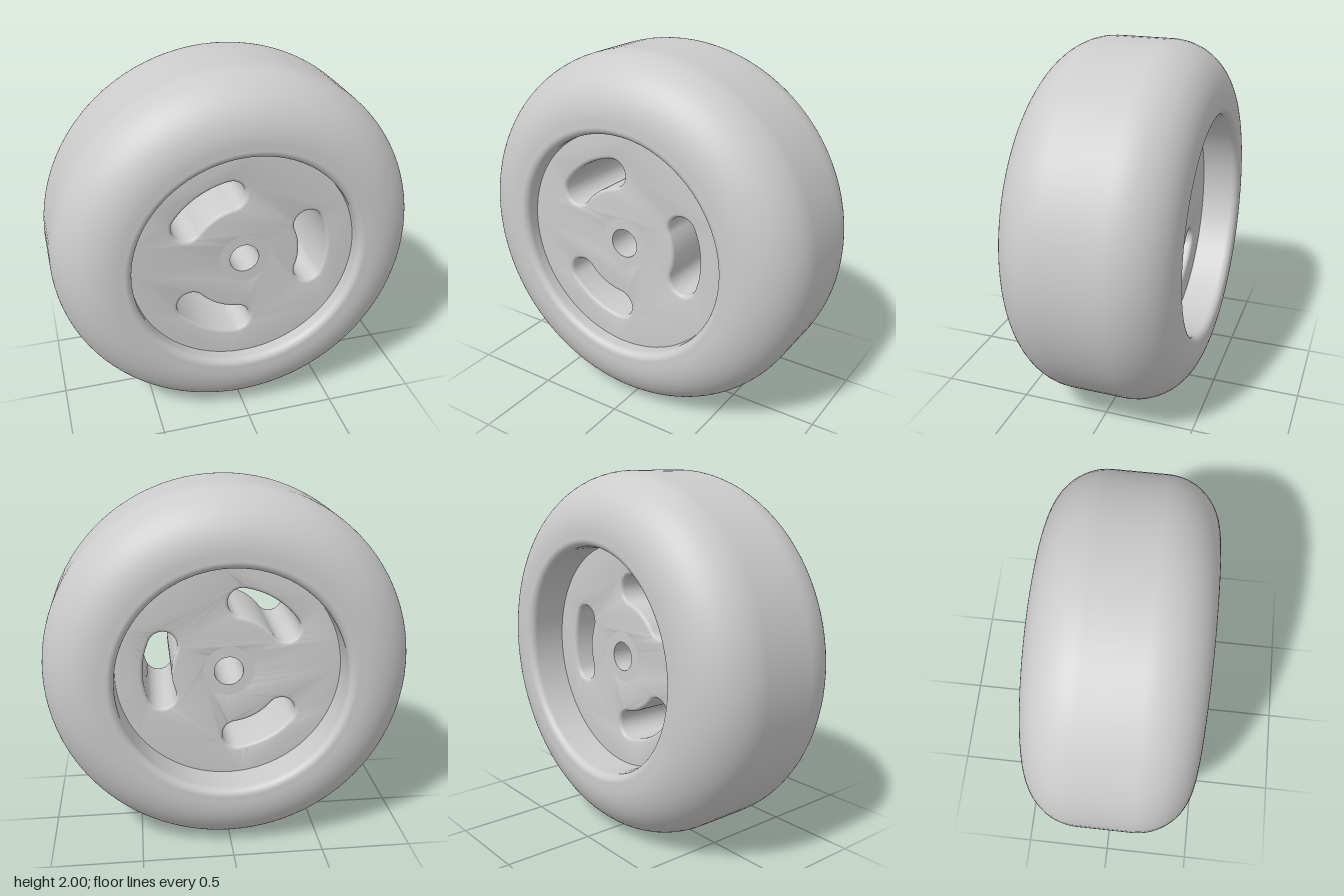
import * as THREE from 'three';
import { toCreasedNormals } from 'three/addons/utils/BufferGeometryUtils.js';

const SEG = 96;
const HALF_WIDTH = 0.46, RIM = 0.615;
const DISC_FRONT = 0.37, DISC_BACK = -0.245;
const HUB = 0.08, PLUG = 0.14, BEVEL = 0.02;

const material = new THREE.MeshStandardMaterial({ color: 0xcccccc });

// Revolve a profile of (radius, z) points about the z axis
function revolve(points, name) {
  const geometry = new THREE.LatheGeometry(points, SEG).rotateX(Math.PI / 2);
  const mesh = new THREE.Mesh(geometry, material);
  mesh.name = name;
  return mesh;
}

// Rounded-rectangle cross-section: large outer shoulders, small inner lips
function tyreProfile() {
  const shoulder = 0.31, lip = 0.04, w = HALF_WIDTH, q = Math.PI / 2;
  const p = new THREE.Path();
  p.moveTo(RIM, 0);
  p.lineTo(RIM, -w + lip);
  p.absarc(RIM + lip, -w + lip, lip, 2 * q, 3 * q);
  p.absarc(1 - shoulder, -w + shoulder, shoulder, -q, 0);
  p.absarc(1 - shoulder, w - shoulder, shoulder, 0, q);
  p.absarc(RIM + lip, w - lip, lip, q, 2 * q);
  p.lineTo(RIM, 0);
  return p.getPoints(14);
}

// Curved slot with round ends, following a circle about the hub
function slotPath(angle) {
  const radius = 0.387, half = 0.0785 + BEVEL, sweep = 0.372;
  const a = angle - sweep, b = angle + sweep;
  const p = new THREE.Path();
  p.absarc(0, 0, radius + half, a, b);
  p.absarc(radius * Math.cos(b), radius * Math.sin(b), half, b, b + Math.PI);
  p.absarc(0, 0, radius - half, b, a, true);
  p.absarc(radius * Math.cos(a), radius * Math.sin(a), half, a + Math.PI, a + 2 * Math.PI);
  return p;
}

function createDisc() {
  const shape = new THREE.Shape().absarc(0, 0, RIM + 0.005, 0, Math.PI * 2);
  shape.holes.push(new THREE.Path().absarc(0, 0, PLUG, 0, Math.PI * 2));
  for (let i = 0; i < 3; i++) shape.holes.push(slotPath(0.037 + i * Math.PI * 2 / 3));
  const geometry = new THREE.ExtrudeGeometry(shape, {
    depth: DISC_FRONT - DISC_BACK - 2 * BEVEL, curveSegments: 24,
    bevelThickness: BEVEL, bevelSize: BEVEL, bevelSegments: 4,
  });
  geometry.translate(0, 0, DISC_BACK + BEVEL);
  const mesh = new THREE.Mesh(toCreasedNormals(geometry, 0.6), material);
  mesh.name = 'slottedDisc';
  return mesh;
}

// Hub with a sharp-edged axle bore, flush with both disc faces
function createHub() {
  const profile = [[PLUG, DISC_FRONT], [HUB, DISC_FRONT], [HUB, DISC_BACK], [PLUG, DISC_BACK]]
    .map(([r, z]) => new THREE.Vector2(r, z));
  const mesh = revolve(profile, 'hub');
  mesh.geometry = toCreasedNormals(mesh.geometry, 0.6);
  return mesh;
}

export function createModel() {
  const wheel = new THREE.Group();
  wheel.name = 'wheel';
  wheel.add(revolve(tyreProfile(), 'tyre'), createDisc(), createHub());
  wheel.position.y = 1;
  const model = new THREE.Group();
  model.add(wheel);
  return model;
}
